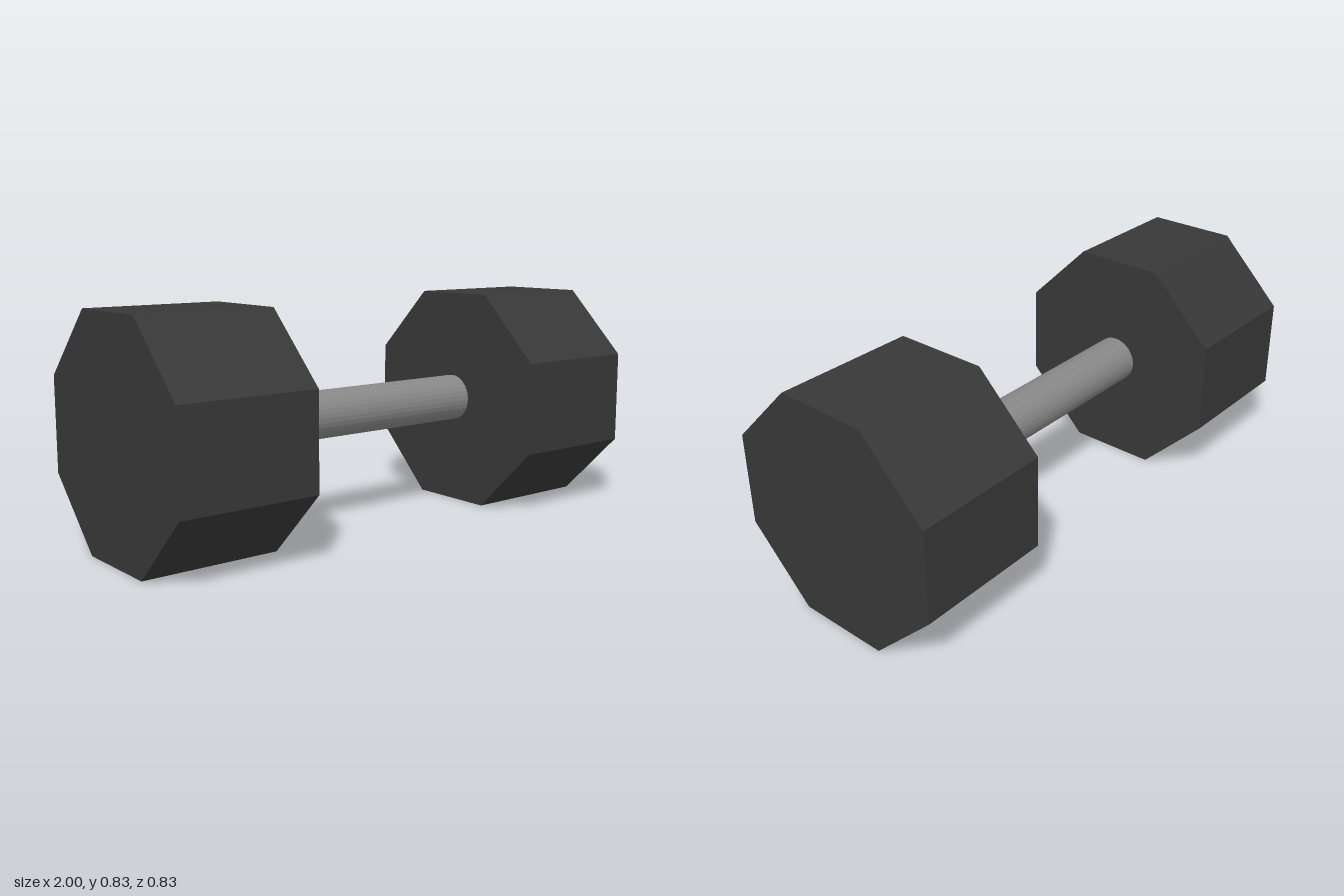
import * as THREE from 'three';

const APOTHEM = 0.413; // half the height of an octagonal head
const INNER = 0.49; // x where each head begins
const BAR_RADIUS = 0.088;

// Cylinder lying along x
function rod(radius, length, sides, turn, color) {
  const geometry = new THREE.CylinderGeometry(radius, radius, length, sides);
  geometry.rotateY(turn).rotateZ(Math.PI / 2);
  const material = new THREE.MeshStandardMaterial({ color, flatShading: true });
  return new THREE.Mesh(geometry, material);
}

export function createModel() {
  const group = new THREE.Group();
  group.name = 'dumbbell';

  // Round handle, running slightly into both heads
  const handle = rod(BAR_RADIUS, 2 * INNER + 0.02, 32, 0, 0x888888);
  handle.name = 'handle';
  handle.position.y = APOTHEM;
  group.add(handle);

  // Octagonal weights with flats on top, bottom and sides
  for (const side of [1, -1]) {
    const head = rod(APOTHEM / Math.cos(Math.PI / 8), 1 - INNER, 8, Math.PI / 8, 0x383838);
    head.name = side > 0 ? 'leftWeight' : 'rightWeight';
    head.position.set((side * (1 + INNER)) / 2, APOTHEM, 0);
    group.add(head);
  }

  return group;
}
